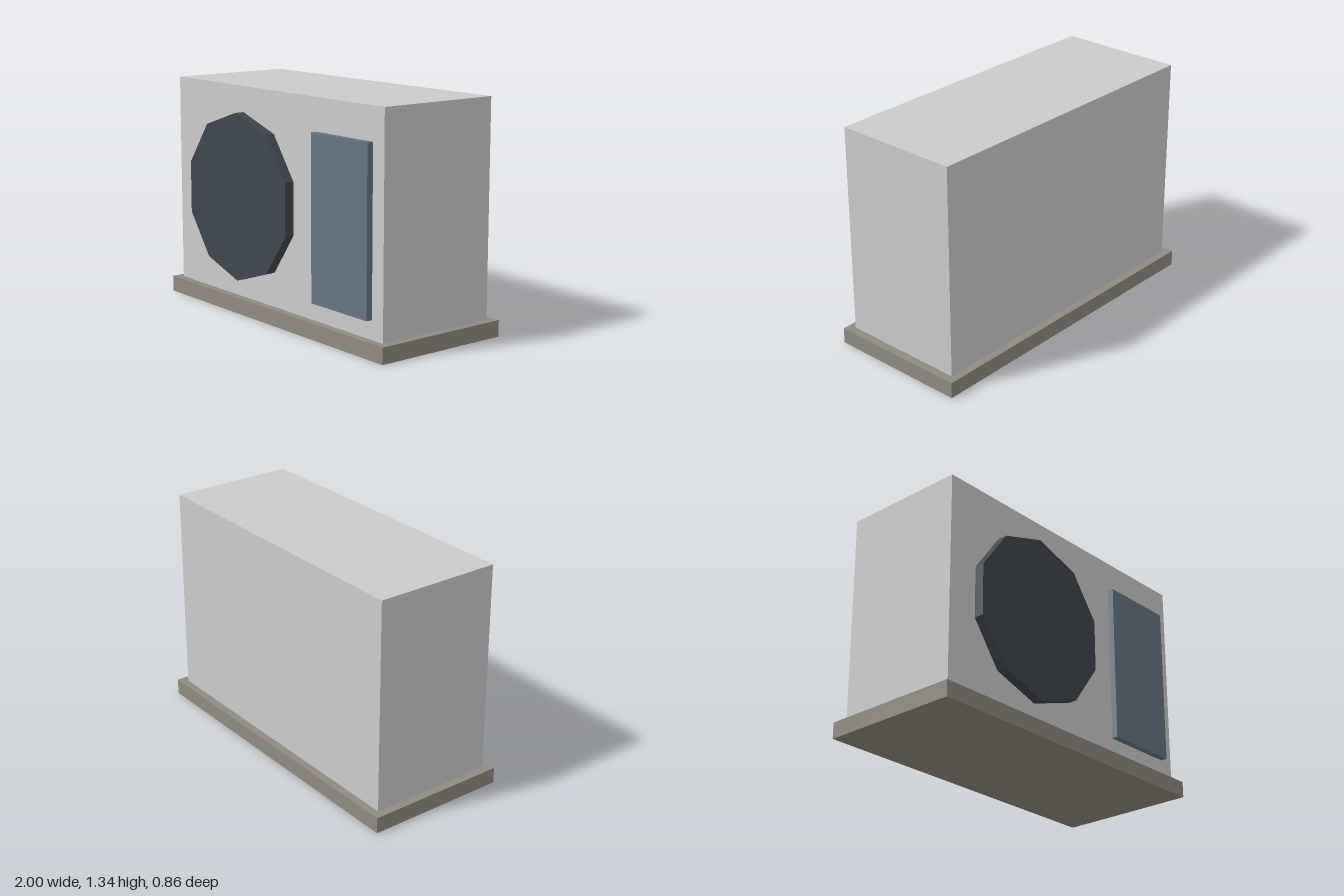
import * as THREE from 'three';

const material = (color) => new THREE.MeshStandardMaterial({ color, flatShading: true });

// Box given by its lower and upper corners
function box(name, color, [x0, y0, z0], [x1, y1, z1]) {
  const mesh = new THREE.Mesh(new THREE.BoxGeometry(x1 - x0, y1 - y0, z1 - z0), material(color));
  mesh.position.set((x0 + x1) / 2, (y0 + y1) / 2, (z0 + z1) / 2);
  mesh.name = name;
  return mesh;
}

export function createModel() {
  const group = new THREE.Group();
  group.name = 'outdoorUnit';

  // Plinth and cabinet
  group.add(box('basePlinth', 0x918a7f, [-1, 0, -0.431], [1, 0.095, 0.421]));
  group.add(box('cabinet', 0xcccccc, [-0.95, 0.095, -0.385], [0.95, 1.343, 0.375]));

  // Ten-sided fan cover, standing proud of the front face
  const fan = new THREE.Mesh(new THREE.CylinderGeometry(0.494, 0.494, 0.058, 10), material(0x40474f));
  fan.rotation.x = Math.PI / 2;
  fan.position.set(-0.288, 0.698, 0.404);
  fan.name = 'fanCover';
  group.add(fan);

  // Service panel beside the fan
  group.add(box('servicePanel', 0x677683, [0.39, 0.204, 0.375], [0.86, 1.154, 0.413]));

  return group;
}
